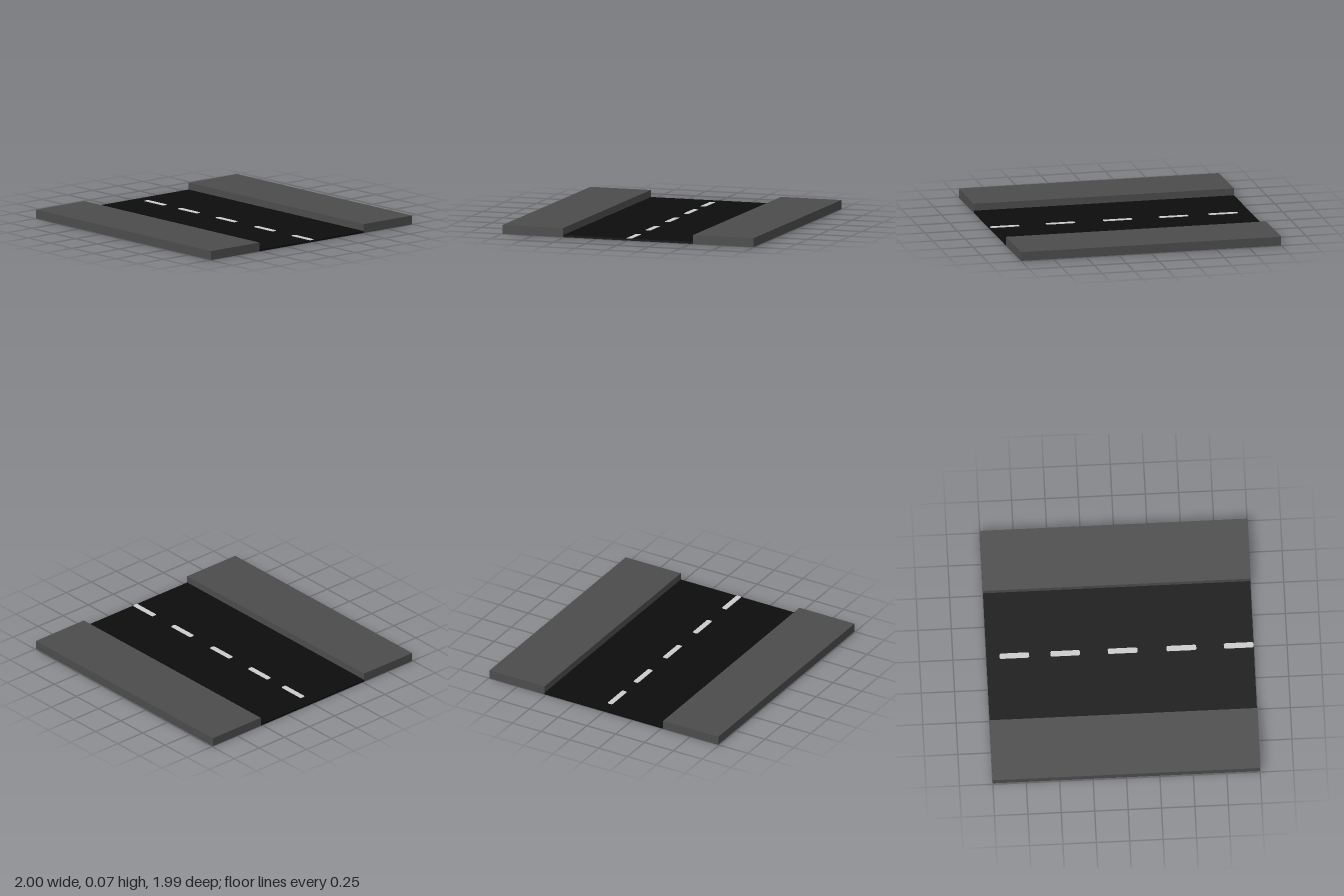
import * as THREE from 'three';

const concrete = new THREE.MeshStandardMaterial({ name: 'concrete grey', color: 0x4c4c4c });
const asphalt = new THREE.MeshStandardMaterial({ name: 'asphalt black', color: 0x0d0d0d });
const paint = new THREE.MeshStandardMaterial({ name: 'line paint', color: 0xcccccc });

const ROAD_TOP = 0.015;
const KERB_TOP = 0.068;
const ROAD_HALF = 0.515;
const EDGE = 0.993;

function add(group, name, geometry, material, x, y, z) {
  const mesh = new THREE.Mesh(geometry, material);
  mesh.name = name;
  mesh.position.set(x, y, z);
  group.add(mesh);
  return mesh;
}

// Thin painted dash with small chamfered corners, lying flat
function dashGeometry(length, width, thickness) {
  const a = length / 2, b = width / 2, c = 0.008;
  const shape = new THREE.Shape([
    [-a + c, -b], [a - c, -b], [a, -b + c], [a, b - c],
    [a - c, b], [-a + c, b], [-a, b - c], [-a, -b + c],
  ].map(([x, y]) => new THREE.Vector2(x, y)));
  return new THREE.ExtrudeGeometry(shape, { depth: thickness, bevelEnabled: false }).rotateX(-Math.PI / 2);
}

export function createModel() {
  const group = new THREE.Group();
  group.name = 'roadSection';

  // Road slab: asphalt on top and ends, concrete underneath
  const roadSides = [asphalt, asphalt, asphalt, concrete, asphalt, asphalt];
  add(group, 'road', new THREE.BoxGeometry(2, ROAD_TOP, ROAD_HALF * 2), roadSides, 0, ROAD_TOP / 2, 0);

  // Raised pavements along both sides
  const depth = EDGE - ROAD_HALF;
  for (const [name, side] of [['frontPavement', 1], ['backPavement', -1]]) {
    add(group, name, new THREE.BoxGeometry(2, KERB_TOP, depth), concrete,
      0, KERB_TOP / 2, side * (ROAD_HALF + depth / 2));
  }

  // Centre line dashes
  [-0.79, -0.41, 0.02, 0.46, 0.888].forEach((x, i) => {
    add(group, `centreDash${i + 1}`, dashGeometry(0.222, 0.042, 0.003), paint, x, ROAD_TOP, -0.008);
  });

  return group;
}
